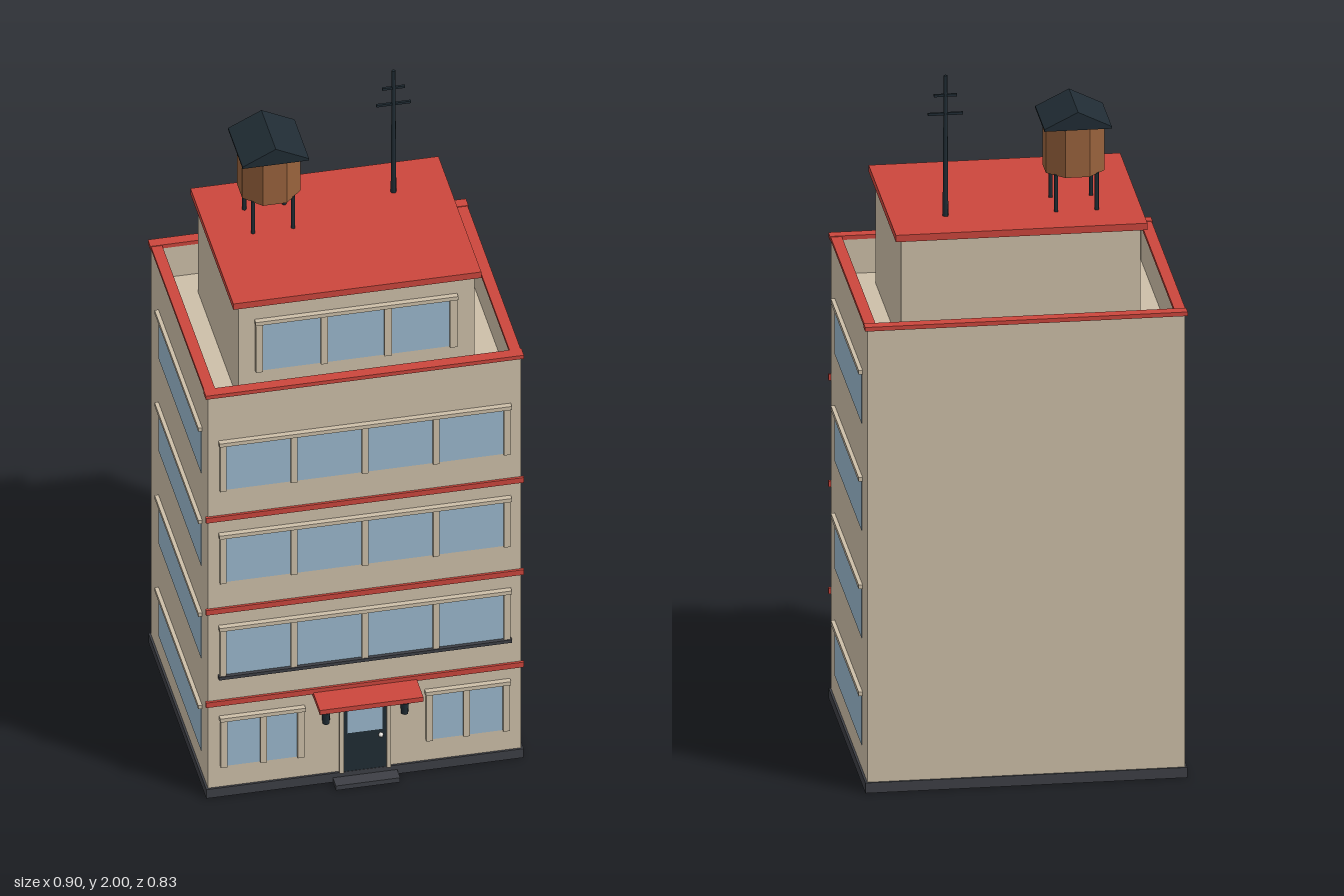
import * as THREE from 'three';

const mat = (name, color) => {
  const m = new THREE.MeshStandardMaterial({ color });
  m.name = name;
  return m;
};

export function createModel() {
  const cream = mat('cream wall', 0xcdbfa8);
  const red = mat('red trim', 0xcb463c);
  const glass = mat('window glass', 0x9ab8cd);
  const wood = mat('tank wood', 0x98623c);
  const dark = mat('dark metal', 0x202c34);
  const stone = mat('plinth stone', 0x3d3f45);
  const white = mat('door knob', 0xe6e4de);

  const root = new THREE.Group();
  root.name = 'building';
  const group = (name) => {
    const g = new THREE.Group();
    g.name = name;
    root.add(g);
    return g;
  };
  const add = (parent, name, geo, m, x = 0, y = 0, z = 0) => {
    const mesh = new THREE.Mesh(geo, m);
    mesh.name = name;
    mesh.position.set(x, y, z);
    parent.add(mesh);
    return mesh;
  };
  // Box given by its minimum and maximum on each axis
  const box = (parent, name, m, x0, x1, y0, y1, z0, z1) =>
    add(parent, name, new THREE.BoxGeometry(x1 - x0, y1 - y0, z1 - z0), m,
      (x0 + x1) / 2, (y0 + y1) / 2, (z0 + z1) / 2);

  const W = 0.438, F = 0.322, B = -0.408;   // wall half width, front, back
  const ROOF = 1.25, TOP = 1.35;

  // Main block, plinth and door step
  const body = group('body');
  box(body, 'walls', cream, -W, W, 0.03, ROOF, B, F);
  box(body, 'plinth', stone, -0.444, 0.444, 0, 0.03, -0.413, 0.328);
  box(body, 'doorStep', stone, -0.09, 0.09, 0, 0.015, 0.328, 0.367);

  // Parapet walls with red coping
  const parapet = group('parapet');
  box(parapet, 'frontParapet', cream, -W, W, ROOF, TOP, F - 0.025, F);
  box(parapet, 'backParapet', cream, -W, W, ROOF, TOP, B, B + 0.025);
  box(parapet, 'frontCoping', red, -0.445, 0.445, TOP, 1.362, 0.295, 0.327);
  box(parapet, 'backCoping', red, -0.445, 0.445, TOP, 1.362, -0.415, -0.383);
  for (const s of [-1, 1]) {
    const span = (a, b) => [Math.min(s * a, s * b), Math.max(s * a, s * b)];
    box(parapet, 'sideParapet', cream, ...span(W - 0.025, W), ROOF, TOP, B + 0.025, F - 0.025);
    box(parapet, 'sideCoping', red, ...span(0.412, 0.443), TOP, 1.36, -0.383, 0.295);
  }

  // Row of panes between posts, under a header, on a front-facing wall
  const windowRow = (name, posts, y0, y1, z, post = 0.018) => {
    const g = group(name);
    const a = posts[0], b = posts[posts.length - 1];
    box(g, 'glass', glass, a, b, y0, y1, z, z + 0.003);
    for (const x of posts) box(g, 'post', cream, x - post / 2, x + post / 2, y0, y1, z, z + 0.011);
    box(g, 'header', cream, a - 0.012, b + 0.012, y1, y1 + 0.012, z, z + 0.016);
    return g;
  };

  // Front windows and floor bands
  const bays = [-0.397, -0.199, 0, 0.199, 0.397];
  [0.41, 0.723, 1.035].forEach((y, i) => {
    const g = windowRow('frontWindows', bays, y, y + 0.155, F);
    if (i === 0) box(g, 'sill', stone, -0.41, 0.41, 0.4, 0.41, F, F + 0.014);
  });
  for (const s of [-1, 1]) {
    const posts = [-0.395, -0.284, -0.18].map((x) => x * -s).sort((p, q) => p - q);
    windowRow('groundWindows', posts, 0.1, 0.258, F);
  }
  for (const y of [0.307, 0.62, 0.932])
    box(body, 'floorBand', red, -0.445, 0.445, y, y + 0.017, F - 0.002, F + 0.007);

  // Side windows
  for (const s of [-1, 1]) for (const y of [0.1, 0.413, 0.727, 1.04]) {
    const g = group('sideWindow');
    add(g, 'glass', new THREE.BoxGeometry(0.004, 0.148, 0.545), glass, s * W, y + 0.074, -0.032);
    add(g, 'header', new THREE.BoxGeometry(0.012, 0.012, 0.56), cream, s * (W + 0.005), y + 0.152, -0.032);
  }

  // Entrance: door, frame, lamps and canopy
  const entry = group('entrance');
  box(entry, 'door', dark, -0.06, 0.06, 0.03, 0.26, F, F + 0.005);
  box(entry, 'doorGlass', glass, -0.049, 0.049, 0.16, 0.25, F + 0.005, F + 0.007);
  box(entry, 'frameTop', cream, -0.072, 0.072, 0.26, 0.272, F, F + 0.012);
  for (const s of [-1, 1]) {
    add(entry, 'framePost', new THREE.BoxGeometry(0.012, 0.23, 0.012), cream, s * 0.066, 0.145, F + 0.006);
    add(entry, 'lamp', new THREE.CylinderGeometry(0.012, 0.01, 0.036, 8), dark, s * 0.11, 0.225, F + 0.01);
  }
  add(entry, 'knob', new THREE.SphereGeometry(0.007, 8, 6), white, 0.044, 0.142, F + 0.009);
  box(entry, 'canopy', red, -0.145, 0.145, 0.297, 0.312, F, 0.413);

  // Penthouse
  const pent = group('penthouse');
  box(pent, 'penthouseWalls', cream, -0.33, 0.33, ROOF, 1.57, -0.3, 0.217);
  box(pent, 'penthouseRoof', red, -0.347, 0.347, 1.57, 1.59, -0.318, 0.23);
  windowRow('penthouseWindows', [-0.273, -0.091, 0.087, 0.27], 1.345, 1.507, 0.217, 0.02);

  // Water tank: octagonal drum on four legs with a gabled cover
  const tank = group('waterTank');
  tank.position.set(-0.168, 0, -0.137);
  const drum = new THREE.CylinderGeometry(0.088, 0.088, 0.145, 8).toNonIndexed();
  drum.rotateY(Math.PI / 8);
  drum.computeVertexNormals();
  add(tank, 'drum', drum, wood, 0, 1.768, 0);
  for (const x of [-0.056, 0.056]) for (const z of [-0.056, 0.056])
    add(tank, 'tankLeg', new THREE.CylinderGeometry(0.006, 0.006, 0.11, 8), dark, x, 1.643, z);
  const gable = new THREE.Shape([[-0.093, 0], [0.093, 0], [0.093, 0.006], [0, 0.052], [-0.093, 0.006]]
    .map(([x, y]) => new THREE.Vector2(x, y)));
  add(tank, 'tankRoof', new THREE.ExtrudeGeometry(gable, { depth: 0.186, bevelEnabled: false }),
    dark, 0, 1.838, -0.093);

  // Antenna mast with two crossbars
  const antenna = group('antenna');
  antenna.position.set(0.192, 0, -0.185);
  add(antenna, 'mast', new THREE.CylinderGeometry(0.005, 0.008, 0.41, 8), dark, 0, 1.795, 0);
  for (const [y, len] of [[1.888, 0.097], [1.942, 0.064]])
    add(antenna, 'crossbar', new THREE.BoxGeometry(len, 0.007, 0.007), dark, 0, y, 0);

  return root;
}
